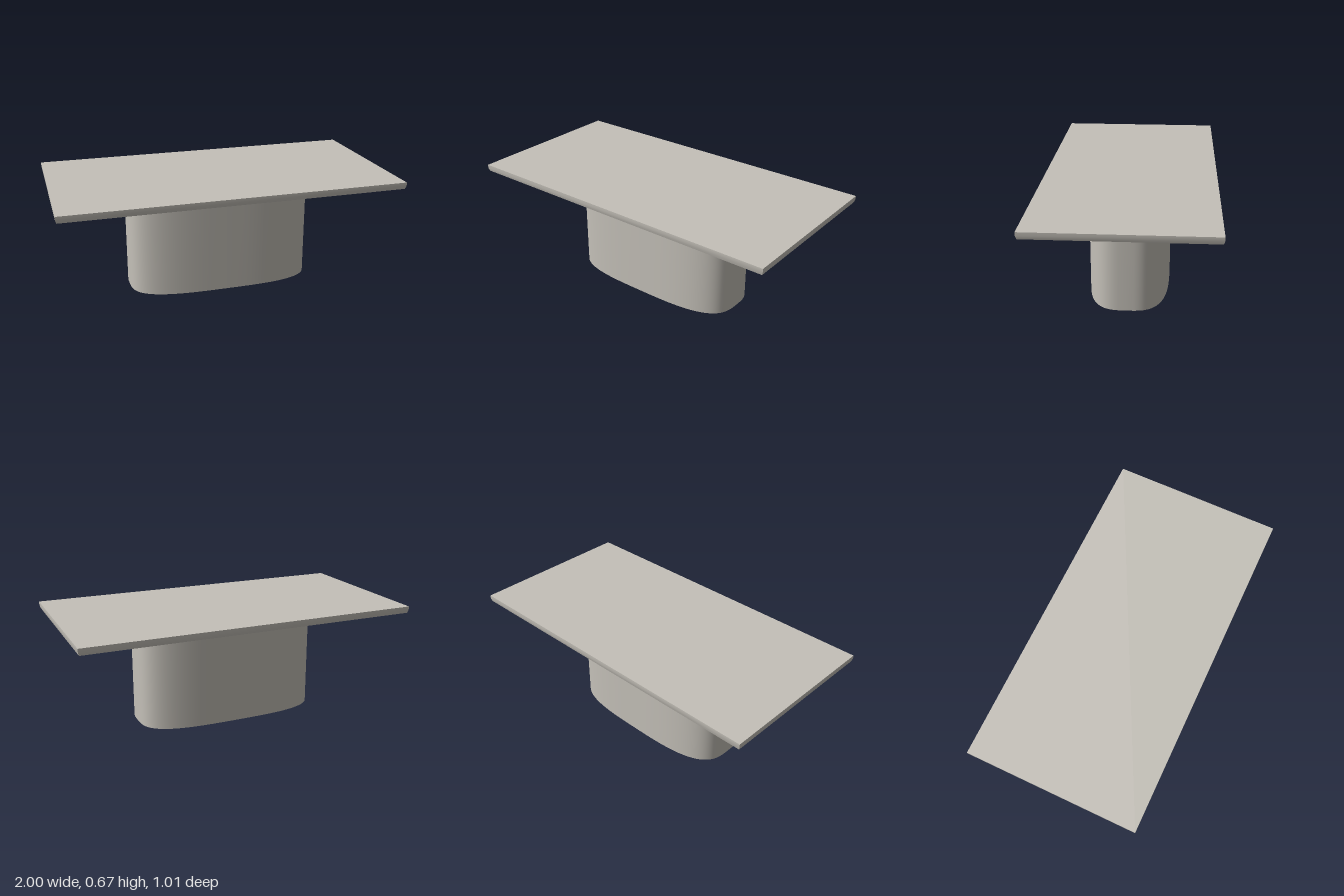
import * as THREE from 'three';

const TOP_Y = 0.665, UNDERSIDE_Y = 0.625;

// Moves every vertex of a geometry by a rule, then refreshes its normals
function reshape(geometry, rule) {
  const p = geometry.attributes.position;
  const v = new THREE.Vector3();
  for (let i = 0; i < p.count; i++) {
    rule(v.fromBufferAttribute(p, i));
    p.setXYZ(i, v.x, v.y, v.z);
  }
  geometry.computeVertexNormals();
  return geometry;
}

export function createModel() {
  const group = new THREE.Group();
  group.name = 'table';
  const stone = new THREE.MeshStandardMaterial({ color: 0xc4c0b8 });
  stone.name = 'warm grey stone';

  // Thin slab whose edge tucks in slightly below its middle
  const thickness = TOP_Y - UNDERSIDE_Y;
  const slab = reshape(new THREE.BoxGeometry(2, thickness, 1.01, 1, 2, 1), (v) => {
    if (v.y < -0.01) {
      v.x -= Math.sign(v.x) * 0.006;
      v.z -= Math.sign(v.z) * 0.006;
    }
  });
  const tabletop = new THREE.Mesh(slab, stone);
  tabletop.name = 'tabletop';
  tabletop.position.y = (TOP_Y + UNDERSIDE_Y) / 2;
  group.add(tabletop);

  // Pedestal with a superellipse footprint
  const halfWidth = 0.555, halfDepth = 0.238, power = 2 / 3.2;
  const bulge = (t) => Math.sign(t) * Math.abs(t) ** power;
  const column = reshape(new THREE.CylinderGeometry(1, 1, UNDERSIDE_Y, 96), (v) => {
    v.x = halfWidth * bulge(Math.abs(v.x) < 1e-6 ? 0 : v.x);
    v.z = halfDepth * bulge(Math.abs(v.z) < 1e-6 ? 0 : v.z);
  });
  const pedestal = new THREE.Mesh(column, stone);
  pedestal.name = 'pedestal';
  pedestal.position.y = UNDERSIDE_Y / 2;
  group.add(pedestal);

  return group;
}
